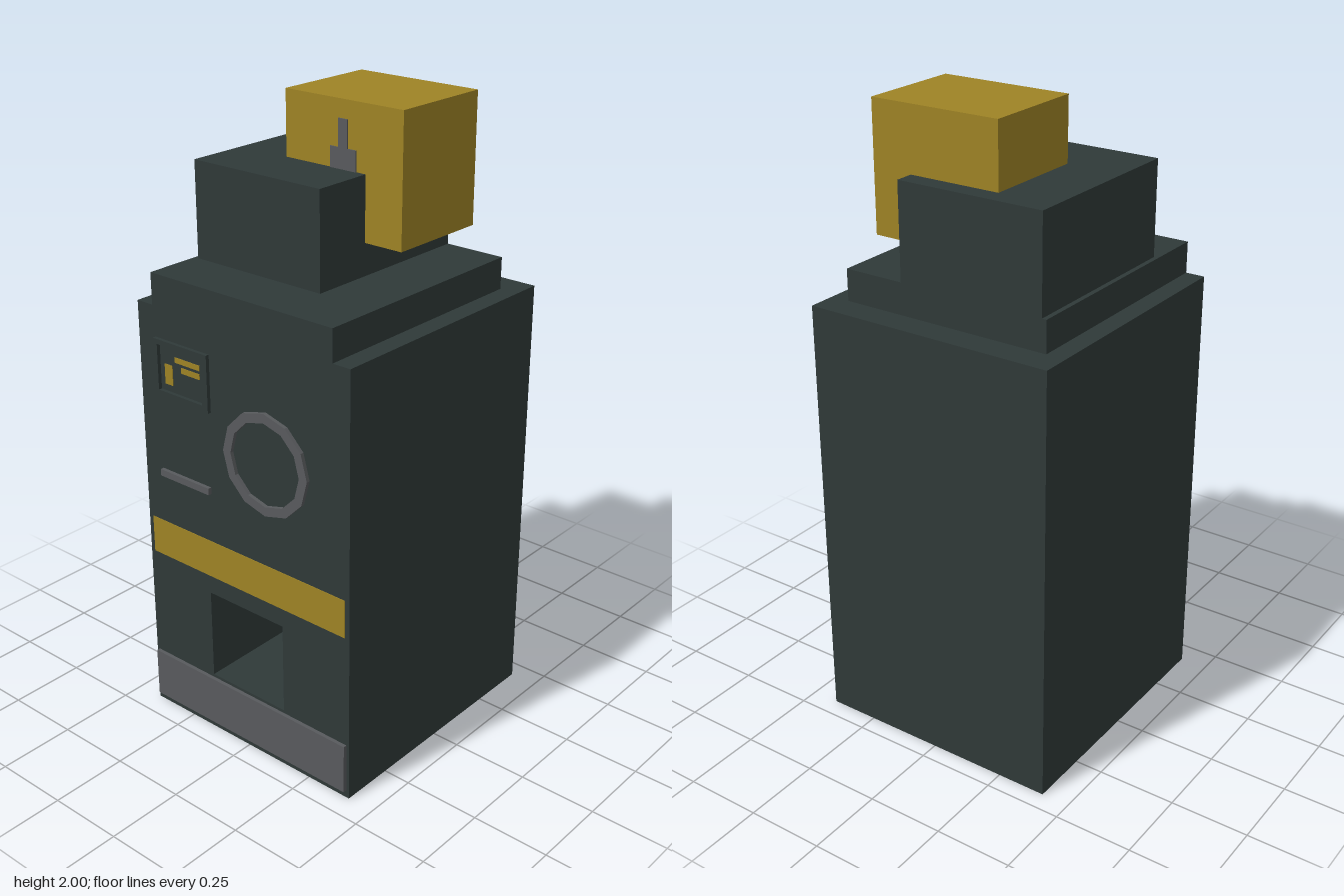
import * as THREE from 'three';

const FRONT = 0.425, BACK = -0.44, RAISE = 0.012;

export function createModel() {
  const root = new THREE.Group();
  root.name = 'machine';

  const material = (name, color) => {
    const m = new THREE.MeshStandardMaterial({ color, side: THREE.DoubleSide });
    m.name = name;
    return m;
  };
  const dark = material('darkCasing', 0x2f3938);
  const yellow = material('yellowPaint', 0x9e8325);
  const gray = material('grayMetal', 0x585a5d);

  const add = (name, geometry, mat) => {
    const mesh = new THREE.Mesh(geometry, mat);
    mesh.name = name;
    root.add(mesh);
    return mesh;
  };

  // Box between two corners; "faces" keeps only some sides (0 +x, 1 -x, 2 +y, 3 -y, 4 +z, 5 -z)
  const block = (name, mat, [x0, x1], [y0, y1], [z0, z1], faces) => {
    const g = new THREE.BoxGeometry(x1 - x0, y1 - y0, z1 - z0);
    g.translate((x0 + x1) / 2, (y0 + y1) / 2, (z0 + z1) / 2);
    if (faces) {
      const index = Array.from(g.index.array);
      g.setIndex(faces.flatMap((f) => index.slice(f * 6, f * 6 + 6)));
      g.clearGroups();
    }
    return add(name, g, mat);
  };

  const rectangle = (Type, x0, x1, y0, y1) => new Type([
    new THREE.Vector2(x0, y0), new THREE.Vector2(x1, y0),
    new THREE.Vector2(x1, y1), new THREE.Vector2(x0, y1),
  ]);
  const raised = (shape, z, depth) =>
    new THREE.ExtrudeGeometry(shape, { depth, bevelEnabled: false }).translate(0, 0, z);

  // Main casing, open underneath, with a front panel cut out for the tray
  block('casing', dark, [-0.41, 0.41], [0, 1.4], [BACK, FRONT], [0, 1, 2, 5]);
  const panel = rectangle(THREE.Shape, -0.41, 0.41, 0, 1.4);
  panel.holes.push(rectangle(THREE.Path, -0.15, 0.15, 0.2, 0.5));
  add('frontPanel', new THREE.ShapeGeometry(panel).translate(0, 0, FRONT), dark);

  // Tray recess and the partitions beside it
  block('trayWalls', dark, [-0.15, 0.15], [0, 0.5], [BACK, FRONT], [0, 1, 2]);
  block('trayFloor', dark, [-0.15, 0.15], [0.19, 0.2], [BACK, FRONT], [2]);
  block('trayBack', dark, [-0.15, 0.15], [0.2, 0.5], [0.03, 0.045], [4]);

  // Stepped top and the yellow box set into it
  block('shoulder', dark, [-0.348, 0.348], [1.4, 1.5], [-0.35, FRONT]);
  block('upperHousing', dark, [-0.333, 0.148], [1.5, 1.8], [-0.35, 0.245]);
  block('yellowBox', yellow, [-0.15, 0.28], [1.6, 2], [-0.29, 0.05]);

  // Stepped gray emblem on the yellow box
  const emblemZ = [0.05, 0.054];
  block('emblemBase', gray, [0.02, 0.115], [1.8, 1.862], emblemZ);
  block('emblemStem', gray, [0.05, 0.083], [1.862, 1.945], emblemZ);

  // Display: raised frame with yellow marks inside
  const frame = rectangle(THREE.Shape, -0.34, -0.12, 1.12, 1.302);
  frame.holes.push(rectangle(THREE.Path, -0.324, -0.142, 1.14, 1.286));
  add('displayFrame', raised(frame, FRONT, RAISE), dark);
  const marks = [
    [[-0.305, -0.273], [1.162, 1.226]],
    [[-0.262, -0.16], [1.24, 1.257]],
    [[-0.236, -0.16], [1.212, 1.23]],
  ];
  for (const [x, y] of marks) block('displayMark', yellow, x, y, [FRONT, FRONT + 0.002]);

  // Twelve-sided porthole ring
  const polygon = (Type, r) => new Type(Array.from({ length: 12 }, (_, i) => {
    const a = (i * Math.PI) / 6;
    return new THREE.Vector2(0.1 + r * Math.cos(a), 1.022 + r * Math.sin(a));
  }));
  const ring = polygon(THREE.Shape, 0.163);
  ring.holes.push(polygon(THREE.Path, 0.133));
  add('portholeRing', raised(ring, FRONT, RAISE), gray);

  // Slot bar, stripe and kick plate
  block('slotBar', gray, [-0.335, -0.13], [0.85, 0.872], [FRONT, FRONT + RAISE]);
  block('stripe', yellow, [-0.393, 0.393], [0.562, 0.686], [FRONT, FRONT + 0.002]);
  block('kickPlate', gray, [-0.4, 0.4], [0.025, 0.19], [FRONT, FRONT + RAISE]);

  return root;
}
